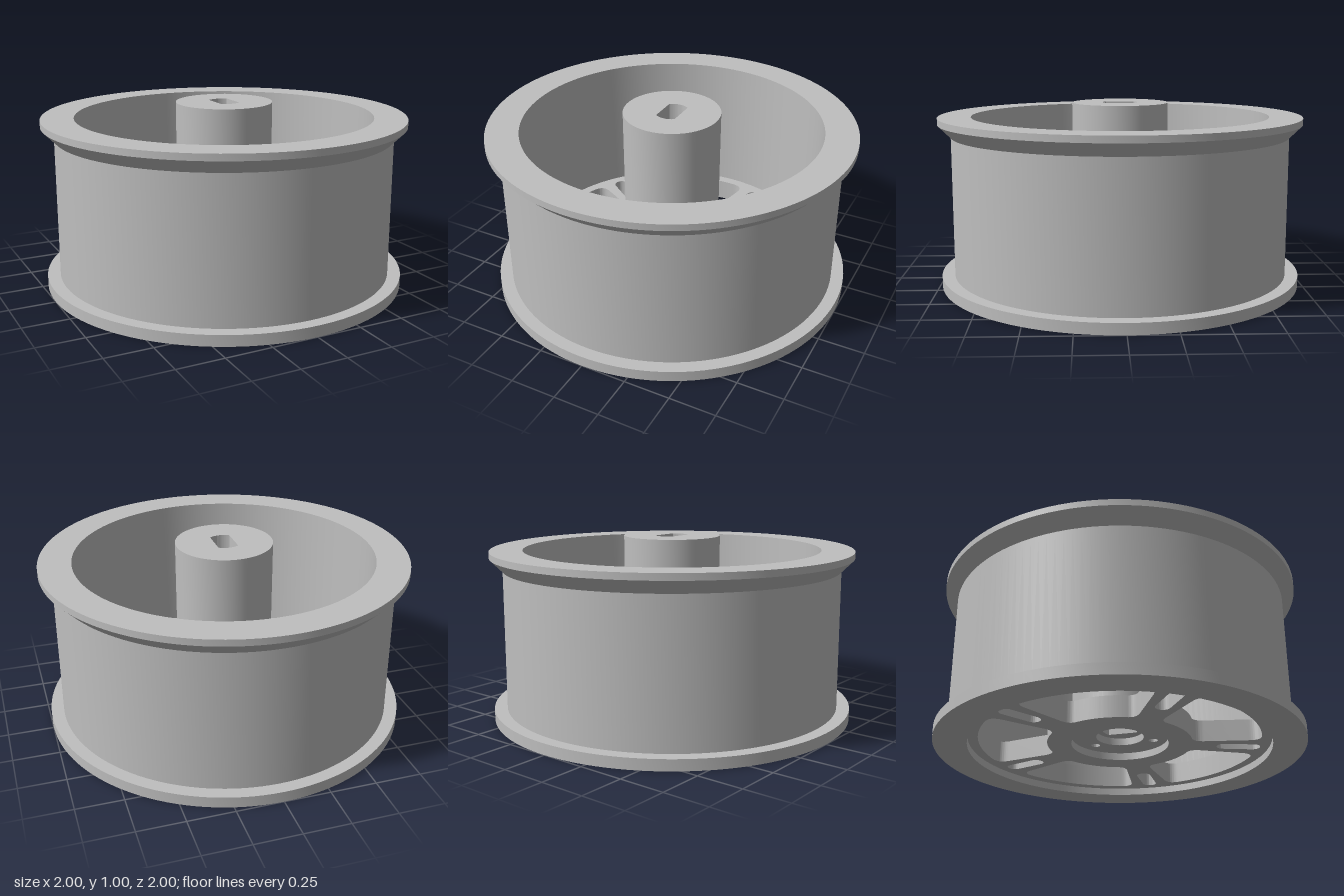
import * as THREE from 'three';
import { toCreasedNormals } from 'three/addons/utils/BufferGeometryUtils.js';

const STEP = Math.PI * 2 / 5;

export function createModel() {
  const group = new THREE.Group();
  const metal = new THREE.MeshStandardMaterial({ color: 0xbfbfbf });
  metal.name = 'plain grey';

  const add = (name, geometry) => {
    const mesh = new THREE.Mesh(toCreasedNormals(geometry, 0.5), metal);
    mesh.name = name;
    group.add(mesh);
  };

  // Upright extrusion of a plan shape between two heights
  const slab = (shape, y0, y1) =>
    new THREE.ExtrudeGeometry(shape, { depth: y1 - y0, bevelEnabled: false, curveSegments: 32 })
      .rotateX(-Math.PI / 2).translate(0, y0, 0);

  const disc = (r) => new THREE.Shape().absarc(0, 0, r, 0, Math.PI * 2, false);
  const hole = (r, x = 0, y = 0) => new THREE.Path().absarc(x, y, r, 0, Math.PI * 2, true);

  // Rim: barrel with a flat lower flange and a flared upper flange
  const profile = [
    [0.82, 0], [1, 0], [1, 0.06], [0.93, 0.06], [0.93, 0.825],
    [1, 0.895], [1, 0.93], [0.82, 0.93], [0.82, 0],
  ].map(([r, y]) => new THREE.Vector2(r, y));
  add('rim', new THREE.LatheGeometry(profile, 128));

  // Rounded window between two neighbouring spokes
  const windowHole = (start) => {
    const at = (x, y, mirrored) => {
      const r = Math.hypot(x, y), a = Math.atan2(y, x);
      const angle = start + (mirrored ? STEP - a : a);
      return [r * Math.cos(angle), r * Math.sin(angle)];
    };
    const outer = 0.23, inner = 0.29;
    const path = new THREE.Path();
    path.moveTo(...at(0.45, 0.072));
    path.lineTo(...at(0.69, 0.103));
    path.quadraticCurveTo(...at(0.757, 0.112),
      ...at(0.765 * Math.cos(outer), 0.765 * Math.sin(outer)));
    path.absarc(0, 0, 0.765, start + outer, start + STEP - outer, false);
    path.quadraticCurveTo(...at(0.757, 0.112, true), ...at(0.69, 0.103, true));
    path.lineTo(...at(0.45, 0.072, true));
    path.quadraticCurveTo(...at(0.39, 0.066, true),
      ...at(0.395 * Math.cos(inner), 0.395 * Math.sin(inner), true));
    path.absarc(0, 0, 0.395, start + STEP - inner, start + inner, true);
    path.quadraticCurveTo(...at(0.39, 0.066), ...at(0.45, 0.072));
    return path;
  };

  // Slot with round ends along a spoke
  const slotHole = (angle) => {
    const path = new THREE.Path();
    const c = Math.cos(angle), s = Math.sin(angle);
    path.absarc(0.73 * c, 0.73 * s, 0.04, angle - Math.PI / 2, angle + Math.PI / 2, false);
    path.absarc(0.57 * c, 0.57 * s, 0.04, angle + Math.PI / 2, angle + Math.PI * 1.5, false);
    path.closePath();
    return path;
  };

  // Five-spoke web, set slightly above the lower face
  const web = disc(0.82);
  web.holes.push(hole(0.265));
  for (let i = 0; i < 5; i++) web.holes.push(windowHole(i * STEP), slotHole(i * STEP));
  add('spokes', slab(web, 0.04, 0.16));

  // Hub column with a shaft bore that has two flats
  const flat = Math.acos(0.055 / 0.095);
  const bore = new THREE.Path();
  bore.absarc(0, 0, 0.095, flat, Math.PI - flat, false);
  bore.absarc(0, 0, 0.095, Math.PI + flat, Math.PI * 2 - flat, false);
  bore.closePath();
  const column = disc(0.265);
  column.holes.push(bore);
  add('hub', slab(column, 0.12, 1));

  // Recessed hub face with a counterbore and small screw holes
  const face = disc(0.265);
  face.holes.push(hole(0.13));
  for (let i = 0; i < 3; i++) {
    const a = Math.PI + i * Math.PI * 2 / 3;
    face.holes.push(hole(0.025, 0.19 * Math.cos(a), 0.19 * Math.sin(a)));
  }
  add('hubFace', slab(face, 0.08, 0.12));

  return group;
}
